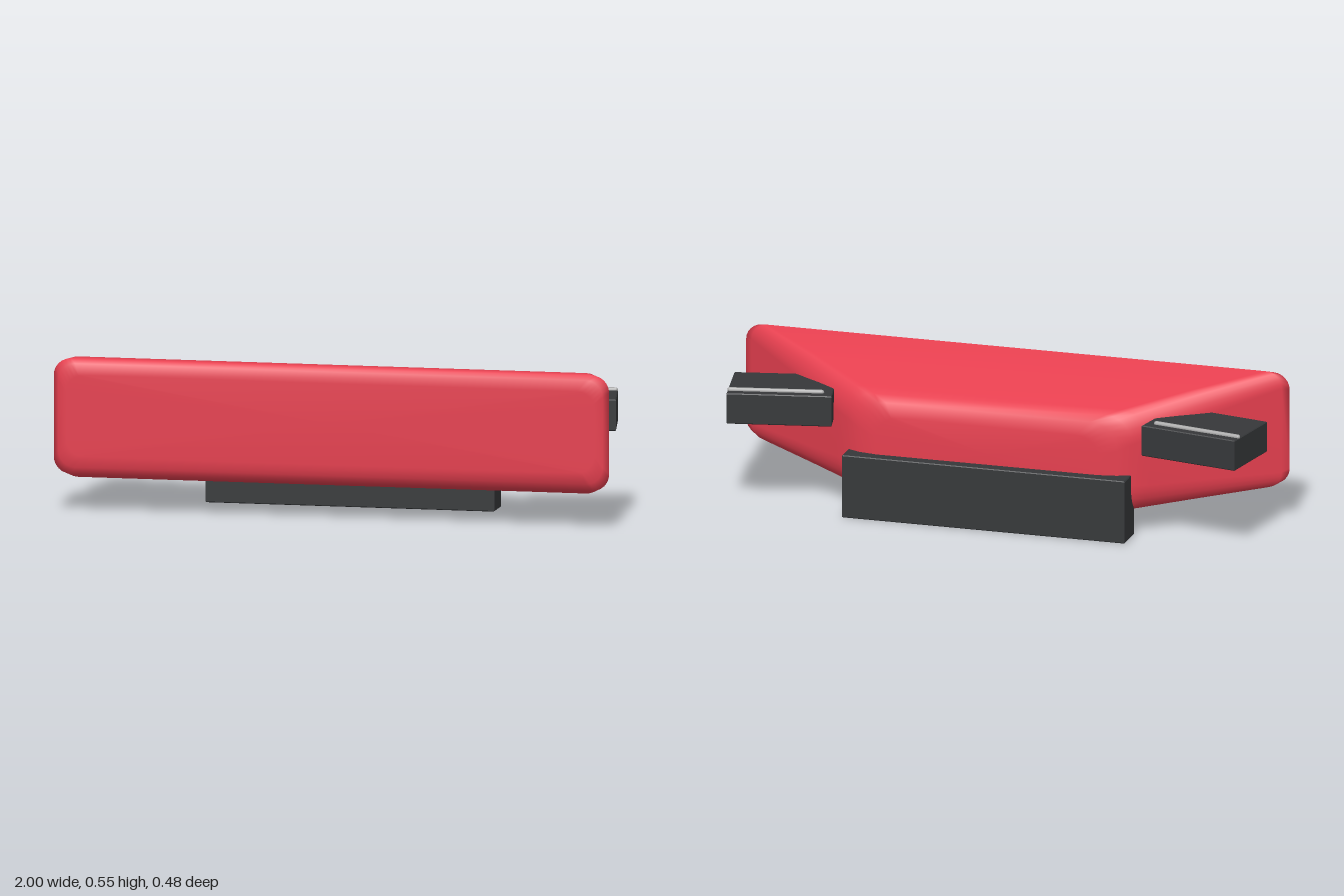
import * as THREE from 'three';

const red = new THREE.MeshStandardMaterial({ color: 0xe63f4f });
const dark = new THREE.MeshStandardMaterial({ color: 0x36383a });
const grey = new THREE.MeshStandardMaterial({ color: 0xaaaaaa });

function add(parent, name, geometry, material) {
  const mesh = new THREE.Mesh(geometry, material);
  mesh.name = name;
  parent.add(mesh);
  return mesh;
}

// Loft of rounded rectangles, front to back: [z, half width, bottom, top, corner radius]
function shellGeometry(rings) {
  const steps = 7, n = steps * 4, pos = [], idx = [];
  for (const [z, w, bottom, top, r] of rings) {
    for (let c = 0; c < 4; c++) {
      const cx = (c === 0 || c === 3 ? 1 : -1) * (w - r);
      const cy = c < 2 ? top - r : bottom + r;
      for (let i = 0; i < steps; i++) {
        const a = (c + i / (steps - 1)) * Math.PI / 2;
        pos.push(cx + r * Math.cos(a), cy + r * Math.sin(a), z);
      }
    }
  }
  for (let k = 0; k < rings.length - 1; k++) {
    for (let i = 0; i < n; i++) {
      const a = k * n + i, b = k * n + (i + 1) % n;
      idx.push(a, a + n, b, b, a + n, b + n);
    }
  }
  // Caps
  const last = rings.length - 1, front = rings.length * n, back = front + 1;
  for (const k of [0, last]) pos.push(0, (rings[k][2] + rings[k][3]) / 2, rings[k][0]);
  for (let i = 0; i < n; i++) {
    const j = (i + 1) % n;
    idx.push(front, i, j, back, last * n + j, last * n + i);
  }
  const g = new THREE.BufferGeometry();
  g.setAttribute('position', new THREE.Float32BufferAttribute(pos, 3));
  g.setIndex(idx);
  g.computeVertexNormals();
  return g;
}

// Upright prism from a plan outline of [x, z] points, with a fine bevel
function prism(points, y0, y1) {
  const b = 0.003;
  const shape = new THREE.Shape(points.map(([x, z]) => new THREE.Vector2(x, -z)));
  const g = new THREE.ExtrudeGeometry(shape, {
    depth: y1 - y0 - 2 * b, bevelThickness: b, bevelSize: b, bevelOffset: -b, bevelSegments: 1,
  });
  return g.rotateX(-Math.PI / 2).translate(0, y0 + b, 0);
}

export function createModel() {
  const model = new THREE.Group();

  // Main body: wide flat front, tapering to a narrow rounded back
  add(model, 'body', shellGeometry([
    [0.238, 0.95, 0.20, 0.49, 0.06],
    [0.232, 0.98, 0.16, 0.53, 0.06],
    [0.215, 1.00, 0.135, 0.545, 0.06],
    [0.200, 0.975, 0.122, 0.551, 0.06],
    [0.050, 0.765, 0.104, 0.505, 0.08],
    [-0.090, 0.575, 0.087, 0.457, 0.10],
    [-0.125, 0.525, 0.09, 0.443, 0.10],
    [-0.148, 0.475, 0.115, 0.42, 0.10],
    [-0.160, 0.41, 0.17, 0.37, 0.08],
  ]), red);

  // Lower mounting block
  add(model, 'baseBlock',
    prism([[-0.52, -0.205], [0.52, -0.205], [0.52, -0.092], [-0.52, -0.092]], 0, 0.23), dark);

  // Angled side blocks with a thin rod along the top
  for (const [side, s] of [['left', 1], ['right', -1]]) {
    const arm = new THREE.Group();
    arm.name = side + 'Arm';
    const outline = [[0.935, -0.238], [0.98, 0.008], [0.755, 0.055], [0.59, -0.07], [0.57, -0.165]];
    add(arm, side + 'ArmBlock', prism(outline.map(([x, z]) => [s * x, z]), 0.318, 0.43), dark);

    const rod = add(arm, side + 'Rod', new THREE.CapsuleGeometry(0.009, 0.325, 4, 10), grey);
    const from = new THREE.Vector3(s * 0.61, 0.432, -0.132);
    const to = new THREE.Vector3(s * 0.94, 0.432, -0.199);
    rod.position.lerpVectors(from, to, 0.5);
    rod.quaternion.setFromUnitVectors(new THREE.Vector3(0, 1, 0), to.sub(from).normalize());
    model.add(arm);
  }
  return model;
}
